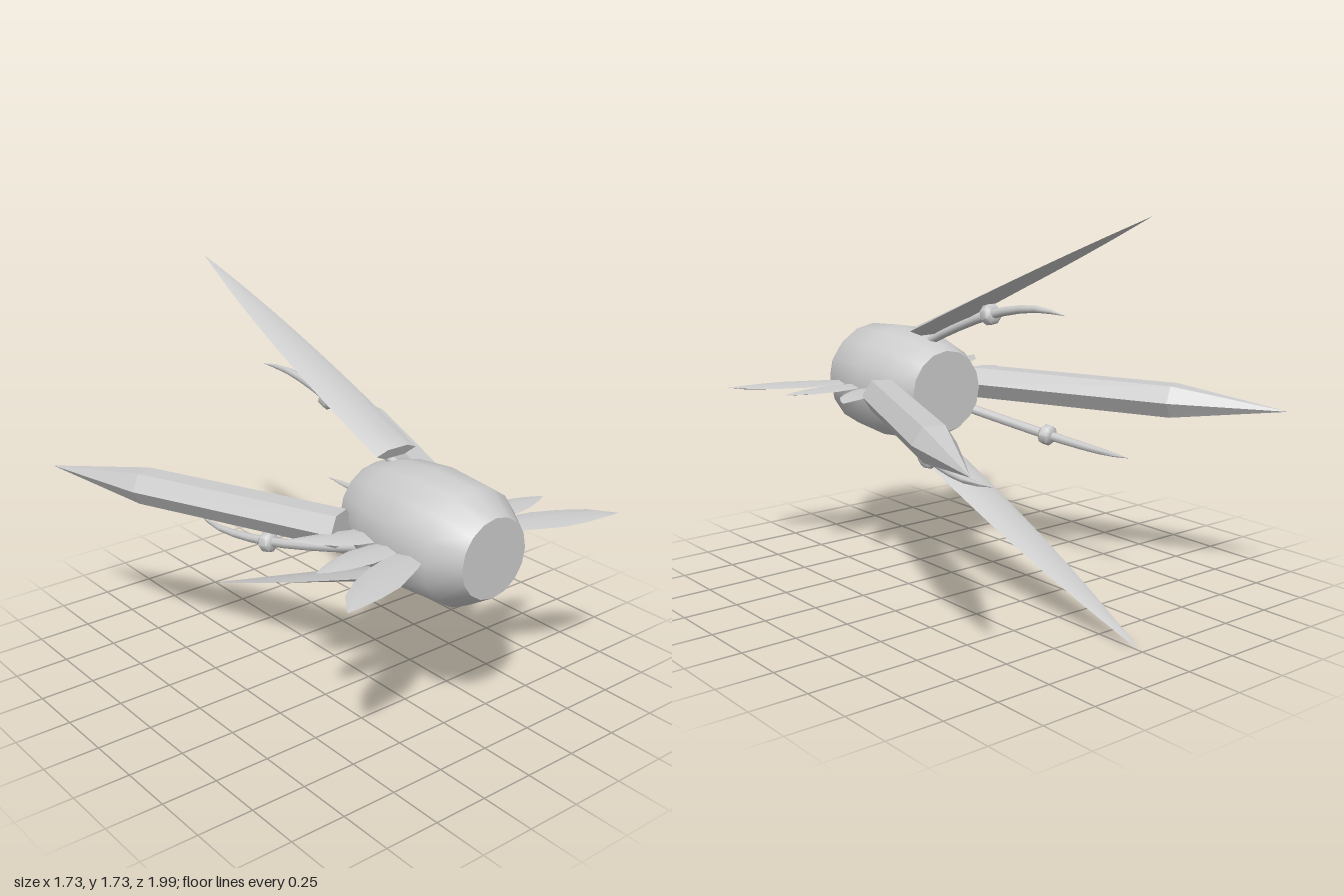
import * as THREE from 'three';
import { toCreasedNormals } from 'three/addons/utils/BufferGeometryUtils.js';

const CENTRE_Y = 0.866;
const SWEEP = -1.173; // tilts local +Y backwards and outwards

// Closed loft along +Y. Each station: [y, radiusX, radiusZ, offsetX, offsetZ]
function loft(stations, sides, start = 0, crease = 0.7) {
  const pos = [], index = [];
  for (const [y, rx, rz = rx, cx = 0, cz = 0] of stations) {
    for (let j = 0; j < sides; j++) {
      const a = start + (j / sides) * Math.PI * 2;
      pos.push(cx + rx * Math.sin(a), y, cz + rz * Math.cos(a));
    }
  }
  const last = stations.length - 1;
  for (let i = 0; i < last; i++) {
    for (let j = 0; j < sides; j++) {
      const k = (j + 1) % sides, a = i * sides, b = a + sides;
      index.push(a + j, a + k, b + j, a + k, b + k, b + j);
    }
  }
  // End caps
  for (let j = 1; j < sides - 1; j++) {
    const t = last * sides;
    index.push(0, j + 1, j, t, t + j, t + j + 1);
  }
  const geo = new THREE.BufferGeometry();
  geo.setAttribute('position', new THREE.Float32BufferAttribute(pos, 3));
  geo.setIndex(index);
  return toCreasedNormals(geo, crease);
}

export function createModel() {
  const model = new THREE.Group();
  model.name = 'podWithFins';
  const grey = new THREE.MeshStandardMaterial({ color: 0xcccccc });
  grey.name = 'light grey';

  const core = new THREE.Group();
  core.name = 'core';
  core.position.y = CENTRE_Y;
  model.add(core);

  const add = (parent, name, geo) => {
    const mesh = new THREE.Mesh(geo, grey);
    mesh.name = name;
    parent.add(mesh);
    return mesh;
  };
  // Pivot that turns a part built at the top around the body axis
  const spoke = (name, angle) => {
    const g = new THREE.Group();
    g.name = name;
    g.rotation.z = angle;
    core.add(g);
    return g;
  };

  // Barrel body along z
  const body = add(core, 'body', loft([
    [0.28, 0.19], [0.34, 0.22], [0.46, 0.252], [0.64, 0.27], [0.87, 0.253], [1, 0.172],
  ], 16));
  body.rotation.x = Math.PI / 2;

  // Curved fins above and below
  const finStations = [];
  for (let i = 0; i <= 14; i++) {
    const s = i / 14;
    finStations.push([s * 1.522, 0.107 * (1 - s ** 2.4) + 0.0003, 0.028 * (1 - s) + 0.0003]);
  }
  const finGeo = loft(finStations, 6, Math.PI / 2);
  // Faceted hexagonal blades at the sides
  const bladeGeo = loft([
    [0, 0.082, 0.09], [0.99, 0.082, 0.09], [1.506, 0.0005],
  ], 6, 0, 0.05);
  for (const side of [0, 1]) {
    const fin = add(spoke(side ? 'lowerFinMount' : 'upperFinMount', side * Math.PI), 'fin', finGeo);
    fin.position.set(0, 0.274, 0.413);
    fin.rotation.x = SWEEP;
    const angle = side ? Math.PI / 2 : -Math.PI / 2;
    const blade = add(spoke(side ? 'rightBladeMount' : 'leftBladeMount', angle), 'blade', bladeGeo);
    blade.position.set(0, 0.282, 0.4);
    blade.rotation.x = SWEEP;
  }

  // Three curved feelers, each with a bead: [z, distance from axis, thickness]
  const path = [
    [0.42, 0.215, 0.022], [0.3, 0.268, 0.022], [0.18, 0.316, 0.022], [0.06, 0.36, 0.022],
    [-0.04, 0.392, 0.022], [-0.14, 0.417, 0.02], [-0.24, 0.436, 0.018], [-0.34, 0.447, 0.015],
    [-0.43, 0.446, 0.01], [-0.52, 0.438, 0.001],
  ];
  const feelerGeo = loft(path.map(([z, r, t]) => [-z, t, t, 0, r]), 8, 0, 0.9);
  const beadGeo = loft([
    [-0.032, 0.032], [-0.018, 0.047], [0.018, 0.047], [0.032, 0.032],
  ], 8, Math.PI / 8, 0.9);
  for (let i = 0; i < 3; i++) {
    const g = spoke('feelerMount', (i * Math.PI * 2) / 3);
    add(g, 'feeler', feelerGeo).rotation.x = -Math.PI / 2;
    const bead = add(g, 'bead', beadGeo);
    bead.position.set(0, 0.392, -0.037);
    bead.rotation.x = -1.28;
  }

  // Flat petals on each side: [x, z of rear edge, z of front edge]
  const petals = {
    rearPetal: [[0.18, 0.45, 0.57], [0.27, 0.43, 0.59], [0.33, 0.405, 0.57], [0.4, 0.383, 0.525],
      [0.46, 0.365, 0.47], [0.5, 0.355, 0.4], [0.52, 0.348, 0.351]],
    middlePetal: [[0.18, 0.63, 0.7], [0.3, 0.598, 0.735], [0.4, 0.59, 0.74], [0.5, 0.61, 0.725],
      [0.58, 0.645, 0.697], [0.625, 0.67, 0.672]],
    frontPetal: [[0.18, 0.74, 0.81], [0.3, 0.725, 0.885], [0.45, 0.765, 0.96], [0.56, 0.82, 0.985],
      [0.66, 0.89, 0.996], [0.735, 0.998, 1]],
  };
  const lieFlat = new THREE.Matrix4().makeBasis(
    new THREE.Vector3(0, 0, 1), new THREE.Vector3(1, 0, 0), new THREE.Vector3(0, 1, 0));
  for (const [name, rows] of Object.entries(petals)) {
    const geo = loft(rows.map(([x, z0, z1]) => {
      const half = (z1 - z0) / 2;
      return [x, half, Math.min(0.013, half * 0.2), z0 + half];
    }), 4).applyMatrix4(lieFlat);
    for (const side of [0, 1]) {
      add(spoke(side ? 'rightPetalMount' : 'leftPetalMount', side * Math.PI), name, geo);
    }
  }
  return model;
}
